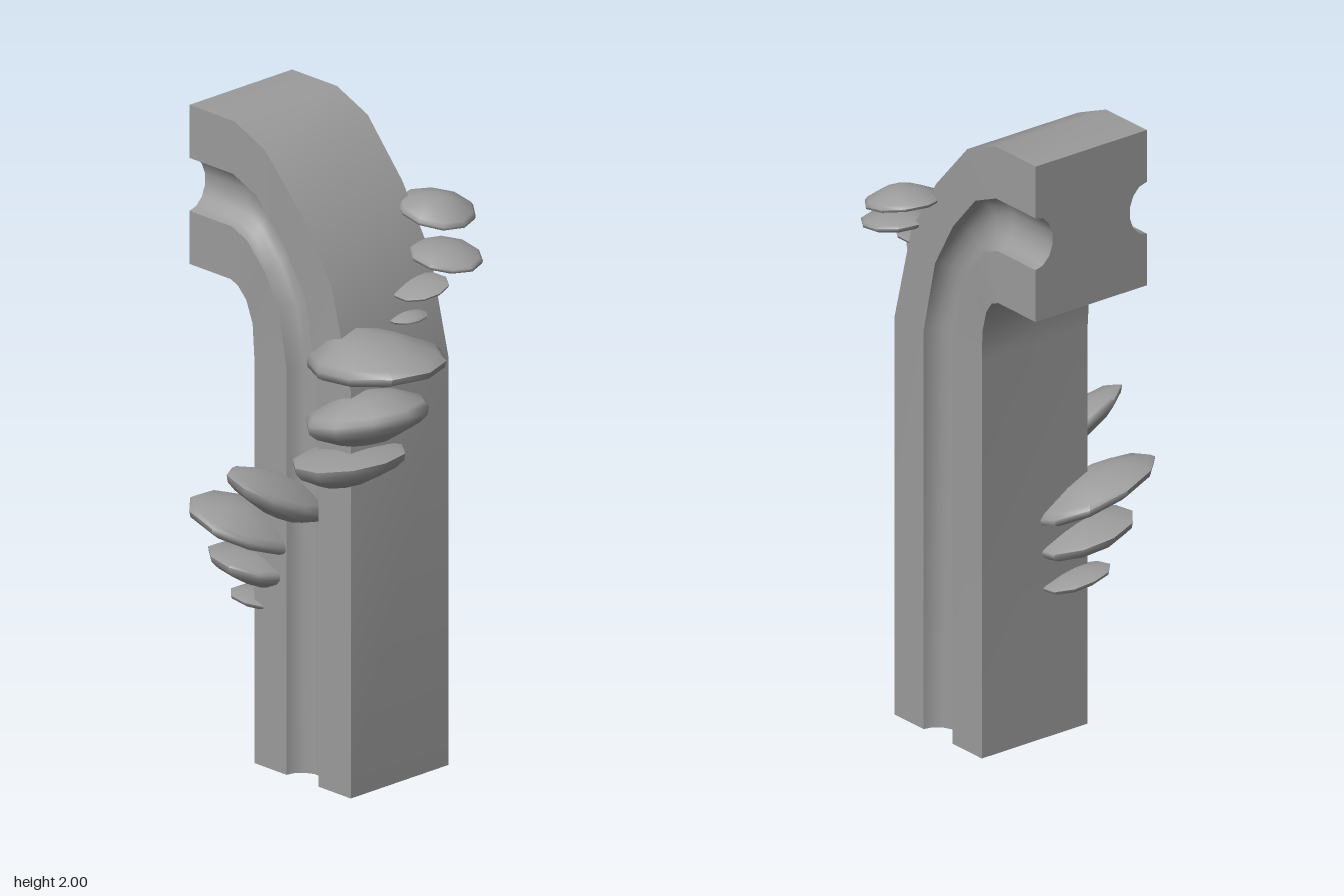
import * as THREE from 'three';
import { toCreasedNormals } from 'three/addons/utils/BufferGeometryUtils.js';

const material = new THREE.MeshStandardMaterial({ color: 0x9b9b9b });

// Grooved section swept up the post and round the bend.
function grooveBeam() {
  // outer x, outer y, inner x, inner y, front z, back z
  const rows = [
    [0.202, 0, -0.206, 0, 0.17, -0.23],
    [0.202, 1.28, -0.206, 1.28, 0.17, -0.23],
    [0.12, 1.59, -0.213, 1.38, 0.17, -0.233],
    [0, 1.78, -0.235, 1.45, 0.175, -0.236],
    [-0.15, 1.945, -0.265, 1.488, 0.18, -0.24],
    [-0.28, 2, -0.295, 1.5, 0.18, -0.24],
    [-0.47, 2, -0.47, 1.5, 0.18, -0.24],
  ];

  // One face of the section: [position across, groove depth]
  const face = [[0, 0]];
  const steps = 7;
  for (let i = 0; i <= steps; i++) {
    const a = (Math.PI * i) / steps;
    face.push([0.5 - Math.cos(a) / 6, 0.065 * Math.sin(a)]);
  }
  face.push([1, 0]);

  const m = face.length;
  const n = 2 * m;
  const positions = [];
  for (const [ox, oy, ix, iy, front, back] of rows) {
    const put = (t, z) => positions.push(ox + (ix - ox) * t, oy + (iy - oy) * t, z);
    face.forEach(([t, d]) => put(t, front - d));
    [...face].reverse().forEach(([t, d]) => put(t, back + d));
  }

  const index = [];
  const quad = (a, b, c, d) => index.push(a, b, c, a, c, d);
  for (let r = 0; r < rows.length - 1; r++) {
    for (let i = 0; i < n; i++) {
      const a = r * n + i;
      const b = r * n + ((i + 1) % n);
      quad(b, a, a + n, b + n);
    }
  }
  // End faces join the front half of the section to the back half
  const top = (rows.length - 1) * n;
  for (let i = 0; i < m - 1; i++) {
    quad(i, i + 1, n - 2 - i, n - 1 - i);
    quad(top + n - 1 - i, top + n - 2 - i, top + i + 1, top + i);
  }

  const g = new THREE.BufferGeometry();
  g.setAttribute('position', new THREE.Float32BufferAttribute(positions, 3));
  g.setIndex(index);
  return toCreasedNormals(g, 0.7);
}

// Ten-sided lens-shaped cap: unit lathe, stretched, then tilted by a shear.
function shelfCap({ x, y, z, up, down, sx, sz, lean }, seed) {
  const profile = [[0, -1], [0.45, -0.85], [0.85, -0.45], [0.98, -0.2],
    [1, 0.1], [0.92, 0.32], [0.45, 0.8], [0, 1]];
  const sides = 10;
  const g = new THREE.LatheGeometry(profile.map((p) => new THREE.Vector2(...p)), sides, Math.PI / sides);
  const cx = (x[0] + x[1]) / 2, rx = (x[1] - x[0]) / 2;
  const cz = (z[0] + z[1]) / 2, rz = (z[1] - z[0]) / 2 / Math.cos(Math.PI / sides);
  const p = g.attributes.position;
  for (let i = 0; i < p.count; i++) {
    const px = p.getX(i), py = p.getY(i), pz = p.getZ(i);
    const wobble = 1 + 0.02 * Math.sin(3 * Math.atan2(pz, px) + seed * 2);
    const dx = px * rx * wobble, dz = pz * rz * wobble;
    // Lean moves the thickest part off centre
    const shift = lean * rx * (1 - Math.hypot(px, pz));
    p.setXYZ(i, cx + dx + shift, y + py * (py > 0 ? up : down) + sx * dx + sz * dz, cz + dz);
  }
  return toCreasedNormals(g, 1.2);
}

export function createModel() {
  const model = new THREE.Group();
  const add = (parent, name, geometry) => {
    const mesh = new THREE.Mesh(geometry, material);
    mesh.name = name;
    parent.add(mesh);
  };
  add(model, 'groovedPost', grooveBeam());

  // Caps by cluster: x and z extents, rim height, thickness up and down, slopes, lean
  const clusters = {
    sideFungi: [
      { x: [0.03, 0.47], y: 1.365, z: [-0.08, 0.29], up: 0.085, down: 0.06, sx: 0.1, sz: 0, lean: -0.45 },
      { x: [0.03, 0.38], y: 1.19, z: [-0.08, 0.29], up: 0.08, down: 0.09, sx: 0.2, sz: 0, lean: 0 },
      { x: [0.01, 0.33], y: 1.06, z: [-0.02, 0.32], up: 0.02, down: 0.095, sx: 0.13, sz: 0, lean: -0.2 },
    ],
    backFungi: [
      { x: [-0.02, 0.22], y: 1.705, z: [-0.39, -0.17], up: 0.045, down: 0.02, sx: -0.18, sz: 0, lean: 0.2 },
      { x: [0.08, 0.3], y: 1.6, z: [-0.335, -0.13], up: 0.03, down: 0.03, sx: -0.15, sz: 0, lean: 0 },
      { x: [0.09, 0.26], y: 1.52, z: [-0.22, -0.06], up: 0.015, down: 0.02, sx: 0, sz: -0.2, lean: 0 },
      { x: [0.11, 0.22], y: 1.435, z: [-0.16, -0.03], up: 0.015, down: 0.012, sx: 0, sz: 0, lean: 0 },
    ],
    frontFungi: [
      { x: [-0.17, 0.04], y: 0.9, z: [0.01, 0.385], up: 0.05, down: 0.08, sx: -0.35, sz: 0.4, lean: 0 },
      { x: [-0.38, -0.07], y: 0.755, z: [-0.01, 0.37], up: 0.06, down: 0.06, sx: -0.3, sz: 0.27, lean: 0.2 },
      { x: [-0.35, -0.09], y: 0.63, z: [0, 0.3], up: 0.03, down: 0.07, sx: -0.15, sz: 0.2, lean: 0.2 },
      { x: [-0.32, -0.15], y: 0.5, z: [0, 0.21], up: 0.02, down: 0.03, sx: -0.15, sz: 0.15, lean: 0 },
    ],
  };
  let seed = 0;
  for (const [name, caps] of Object.entries(clusters)) {
    const group = new THREE.Group();
    group.name = name;
    caps.forEach((cap) => add(group, 'shelfFungus', shelfCap(cap, seed++)));
    model.add(group);
  }
  return model;
}
